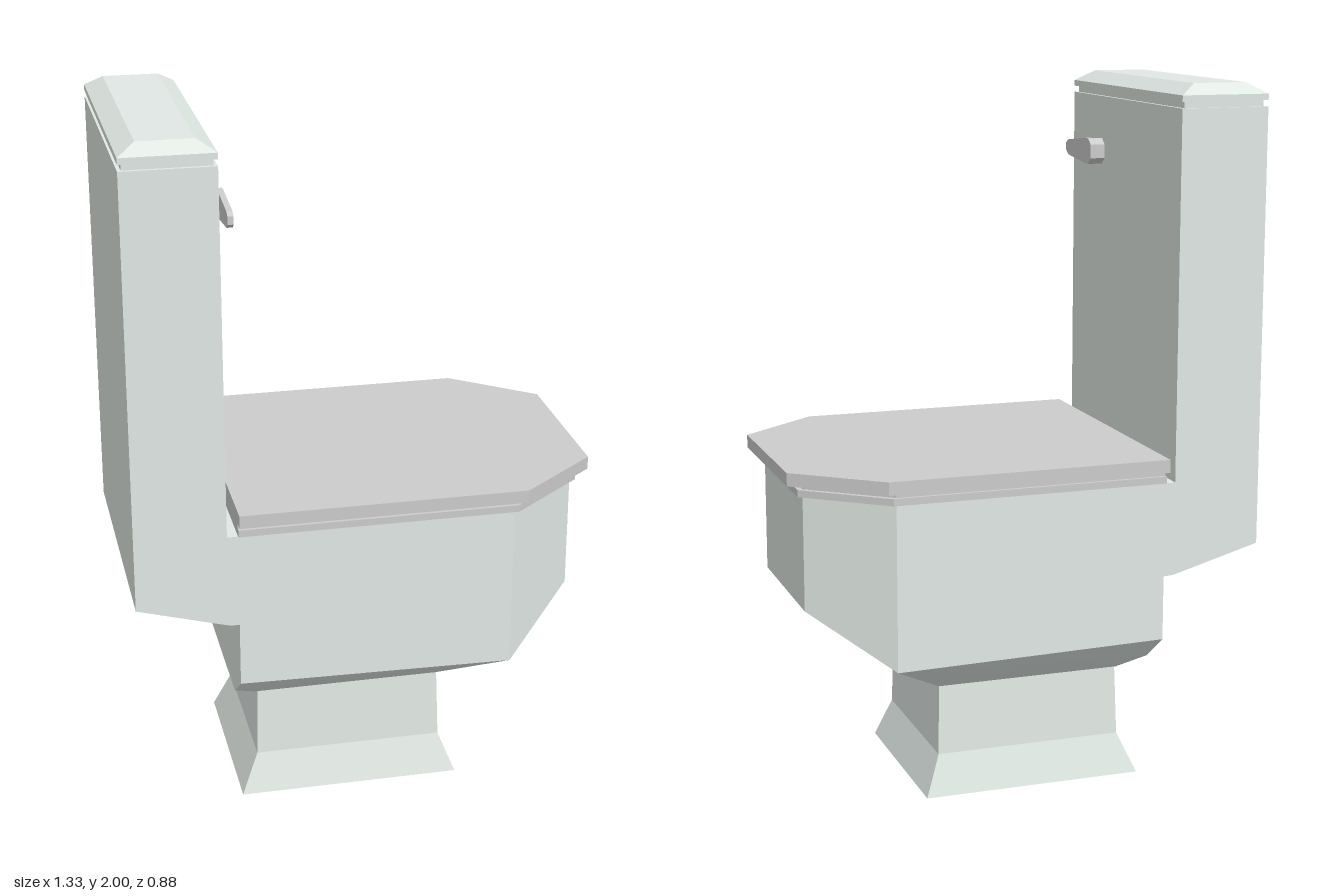
import * as THREE from 'three';
import { ConvexGeometry } from 'three/addons/geometries/ConvexGeometry.js';

const ceramic = new THREE.MeshStandardMaterial({ color: 0xe0e8e4, flatShading: true });
const grey = new THREE.MeshStandardMaterial({ color: 0xcccccc, flatShading: true });

const shapeOf = (pts) => new THREE.Shape(pts.map(([a, b]) => new THREE.Vector2(a, b)));
const extrude = (pts, depth) =>
  new THREE.ExtrudeGeometry(shapeOf(pts), { depth, bevelEnabled: false });

// Convex solid; every [x, y, z] point is mirrored to -z
function hull(pts) {
  const all = pts.flatMap(([x, y, z]) => [new THREE.Vector3(x, y, z), new THREE.Vector3(x, y, -z)]);
  return new ConvexGeometry(all);
}

// Rectangular section at height y, from x0 to x1, half depth z
const rect = (y, x0, x1, z) => [[x0, y, z], [x1, y, z]];

// Plate with a chamfered front end, extruded upwards from y
function plate(y, height, back, shoulder, front, halfWidth, halfFront) {
  const half = [[back, halfWidth], [shoulder, halfWidth], [front, halfFront]];
  const outline = [...half.map(([x, z]) => [x, -z]), ...half.reverse()];
  return extrude(outline, height).rotateX(-Math.PI / 2).translate(0, y, 0);
}

export function createModel() {
  const model = new THREE.Group();
  const add = (name, geometry, material, parent = model) => {
    const mesh = new THREE.Mesh(geometry, material);
    mesh.name = name;
    parent.add(mesh);
  };

  // Flared pedestal
  const foot = rect(0, -0.36, 0.28, 0.275);
  const ankle = rect(0.115, -0.31, 0.235, 0.24);
  const neck = rect(0.316, -0.305, 0.23, 0.23);
  add('pedestalFoot', hull([...foot, ...ankle]), ceramic);
  add('pedestalNeck', hull([...ankle, ...neck]), ceramic);

  // Faceted bowl tapering to the pedestal
  add('bowl', hull([
    [-0.38, 0.9, 0.405], [0.4, 0.9, 0.405], [0.615, 0.9, 0.23],
    [-0.38, 0.445, 0.405], [0.4, 0.43, 0.405], [0.615, 0.575, 0.23],
    [-0.38, 0.36, 0.29], [-0.31, 0.315, 0.23], [0.23, 0.315, 0.23],
  ]), ceramic);

  // Tank with its sloping underside and the ledge that meets the bowl
  add('tank', extrude([
    [-0.665, 0.703], [-0.41, 0.632], [-0.38, 0.63], [-0.38, 0.9],
    [-0.41, 0.9], [-0.41, 1.935], [-0.665, 1.935],
  ], 0.81).translate(0, 0, -0.405), ceramic);

  // Tank lid: recessed neck, rim and bevelled top
  const lid = new THREE.Group();
  lid.name = 'tankLid';
  model.add(lid);
  add('tankLidNeck', hull([...rect(1.935, -0.655, -0.42, 0.395), ...rect(1.953, -0.655, -0.42, 0.395)]), ceramic, lid);
  add('tankLidTop', hull([
    ...rect(1.953, -0.665, -0.41, 0.405),
    ...rect(1.97, -0.665, -0.41, 0.405),
    ...rect(2, -0.615, -0.46, 0.365),
  ]), ceramic, lid);

  // Seat, recessed spacer and cover
  add('seat', plate(0.902, 0.02, -0.38, 0.41, 0.63, 0.415, 0.235), grey);
  add('seatSpacer', plate(0.922, 0.016, -0.38, 0.4, 0.615, 0.405, 0.23), grey);
  add('seatCover', plate(0.938, 0.037, -0.38, 0.43, 0.662, 0.438, 0.248), grey);

  // Flush handle: hub on the tank and tapered lever
  const handle = new THREE.Group();
  handle.name = 'flushHandle';
  model.add(handle);
  const hub = [[0.155, 1.755], [0.175, 1.737], [0.222, 1.741], [0.222, 1.808], [0.175, 1.812], [0.155, 1.795]];
  const lever = [
    [0.155, 1.755], [0.175, 1.737], [0.2, 1.737], [0.34, 1.752], [0.358, 1.765],
    [0.358, 1.787], [0.34, 1.797], [0.2, 1.812], [0.175, 1.812], [0.155, 1.795],
  ];
  const across = (pts, x, depth) => extrude(pts, depth).rotateY(-Math.PI / 2).translate(x, 0, 0);
  add('handleHub', across(hub, -0.382, 0.03), grey, handle);
  add('handleLever', across(lever, -0.366, 0.016), grey, handle);

  return model;
}
